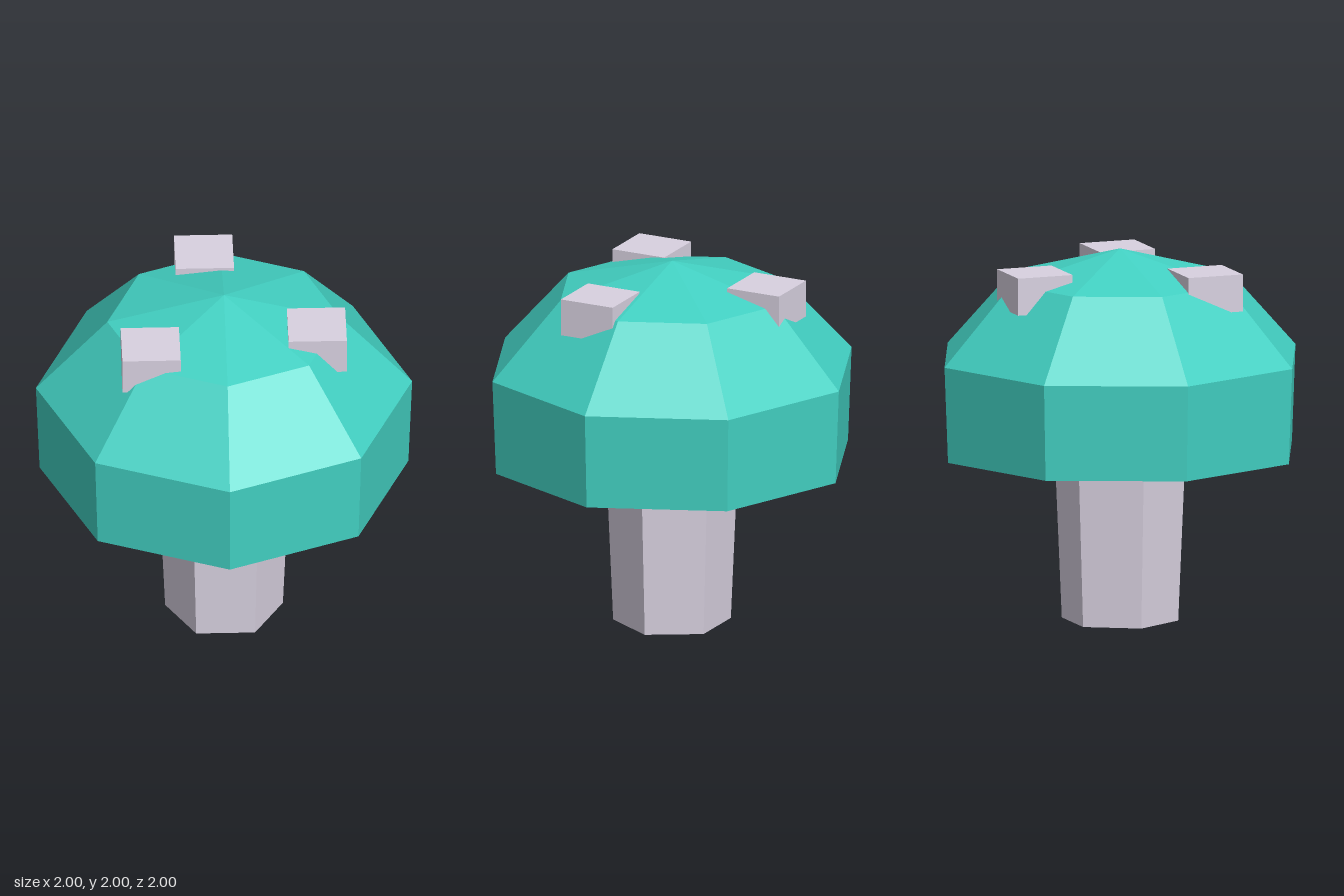
import * as THREE from 'three';

export function createModel() {
  const model = new THREE.Group();
  model.name = 'mushroom';

  const teal = new THREE.MeshStandardMaterial({ color: 0x42d0c2 });
  teal.name = 'teal';
  const lilac = new THREE.MeshStandardMaterial({ color: 0xd8d1e0 });
  lilac.name = 'pale lilac';

  const add = (name, geometry, material, x = 0, y = 0, z = 0) => {
    // Split the faces so every facet has its own flat normal
    const flat = geometry.index ? geometry.toNonIndexed() : geometry;
    flat.computeVertexNormals();
    const mesh = new THREE.Mesh(flat, material);
    mesh.name = name;
    mesh.position.set(x, y, z);
    model.add(mesh);
  };

  // Six-sided stem, widening upwards into the cap, corners on the x axis
  const stem = new THREE.CylinderGeometry(0.352, 0.313, 0.92, 6);
  stem.rotateY(Math.PI / 2);
  add('stem', stem, lilac, 0, 0.46, 0);

  // Eight-sided cap: flat underside, steep rim, sloped shoulder, low peak
  const capProfile = [[0, 0.905], [0.98, 0.905], [1, 1.42], [0.62, 1.84], [0, 2]];
  const cap = new THREE.LatheGeometry(capProfile.map(([r, y]) => new THREE.Vector2(r, y)), 8);
  add('cap', cap, teal);

  // Square blocks half sunk into the cap
  const spots = [[-0.4, 0.33], [0.488, 0.175], [-0.09, -0.52]];
  spots.forEach(([x, z], i) => {
    add(`spot${i + 1}`, new THREE.BoxGeometry(0.31, 0.2, 0.31), lilac, x, 1.82, z);
  });

  return model;
}
